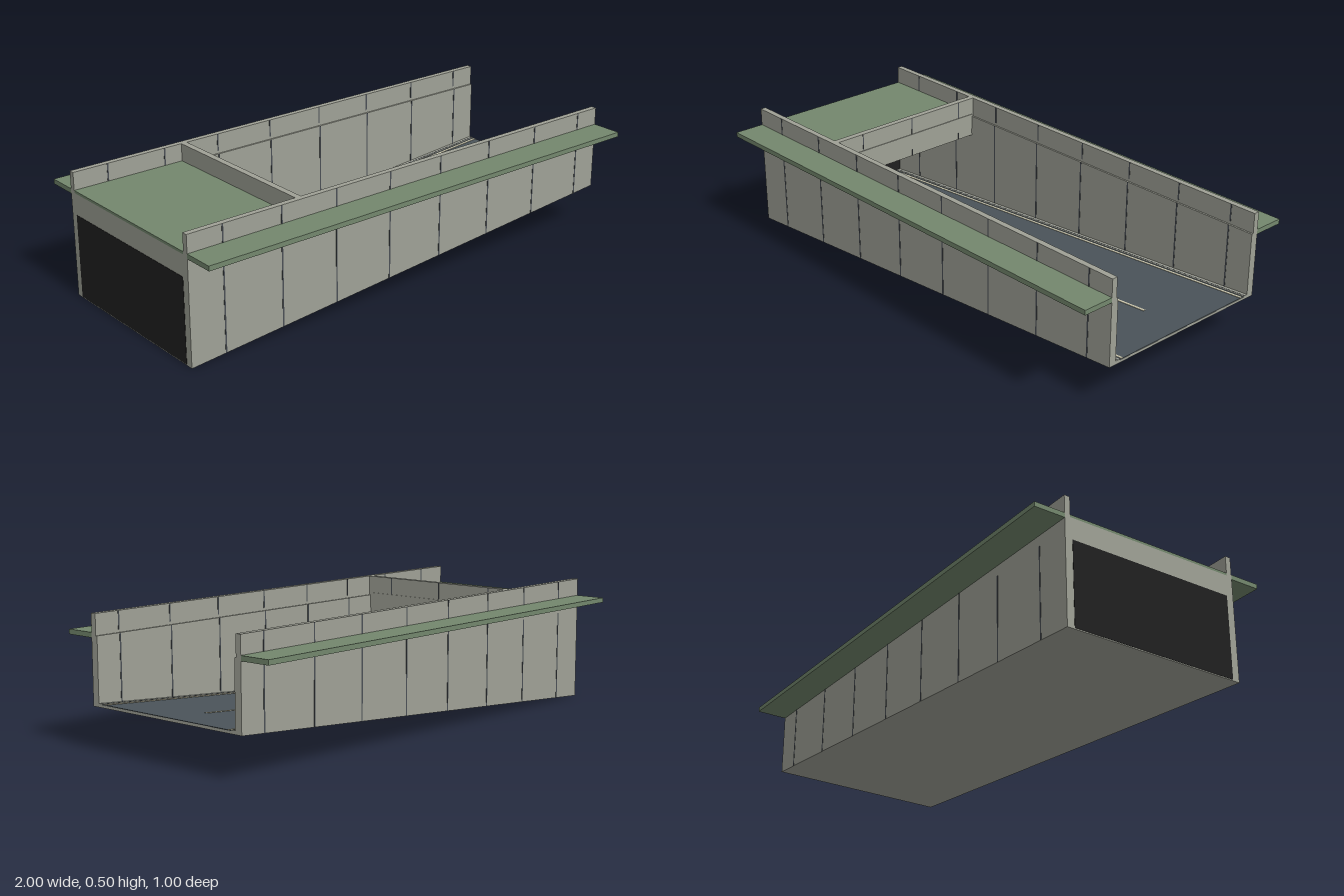
import * as THREE from 'three';

const mat = (name, color) => {
  const m = new THREE.MeshStandardMaterial({ color });
  m.name = name;
  return m;
};

export function createModel() {
  const concrete = mat('concrete', 0x9fa196);
  const grass = mat('grass', 0x73876d);
  const asphalt = mat('asphalt', 0x4b545a);
  const seamGrey = mat('seam grey', 0x4a4f55);
  const cream = mat('cream paint', 0xcdc8ae);
  const dark = mat('tunnel darkness', 0x202020);

  const model = new THREE.Group();
  model.name = 'tunnelRamp';

  // Height of the sloping underside at x
  const base = (x) => 0.081 * (x + 1);

  const add = (name, geometry, material) => {
    const mesh = new THREE.Mesh(geometry, material);
    mesh.name = name;
    model.add(mesh);
    return mesh;
  };

  // Box given by its limits on each axis
  const boxGeometry = (x0, x1, y0, y1, z0, z1) =>
    new THREE.BoxGeometry(x1 - x0, y1 - y0, z1 - z0)
      .translate((x0 + x1) / 2, (y0 + y1) / 2, (z0 + z1) / 2);
  const box = (name, material, ...limits) => add(name, boxGeometry(...limits), material);

  // Box whose height is measured from the slope; a level top is optional
  const rampBox = (name, material, x0, x1, lo, hi, z0, z1, levelTop = false) => {
    const g = boxGeometry(x0, x1, lo, hi, z0, z1);
    const p = g.attributes.position;
    const mid = (lo + hi) / 2;
    for (let i = 0; i < p.count; i++) {
      const top = p.getY(i) > mid;
      if (!(top && levelTop)) p.setY(i, p.getY(i) + base(p.getX(i)));
    }
    g.computeVertexNormals();
    return add(name, g, material);
  };

  // Floor slab and road surface
  rampBox('floorSlab', concrete, -1, 1, 0, 0.010, -0.345, 0.345);
  rampBox('road', asphalt, -0.998, 0.999, 0.010, 0.012, -0.325, 0.325);

  // Centre dashes
  for (let i = 0; i < 4; i++) {
    const x = -0.875 + i * 0.5;
    rampBox('centreDash', cream, x, x + 0.185, 0.012, 0.0135, -0.010, 0);
  }

  const seams = [-0.855, -0.605, -0.36, -0.107, 0.143, 0.395, 0.645, 0.893];

  for (const s of [-1, 1]) {
    // Mirror limits across z = 0
    const zs = (a, b) => (s > 0 ? [a, b] : [-b, -a]);

    // Side wall, parapet and grass verge
    rampBox('sideWall', concrete, -1, 1, 0, 0.42, ...zs(0.345, 0.375), true);
    box('parapet', concrete, -1, 1, 0.42, 0.5, ...zs(0.352, 0.375));
    box('grassVerge', grass, -1, 1, 0.411, 0.43, ...zs(0.3745, 0.5));

    // Kerb and painted edge line
    rampBox('kerb', concrete, -0.998, 1, 0.010, 0.014, ...zs(0.325, 0.345));
    rampBox('kerbJoint', seamGrey, -0.998, 0.999, 0.014, 0.0145, ...zs(0.331, 0.334));
    rampBox('edgeLine', cream, -0.998, 0.999, 0.012, 0.0135, ...zs(0.308, 0.317));

    // Panel joints on both faces of the wall and parapet
    for (const x of seams) {
      const x0 = x - 0.003, x1 = x + 0.003;
      rampBox('outerWallJoint', seamGrey, x0, x1, 0.001, x < -0.5 ? 0.37 : 0.411, ...zs(0.374, 0.376), true);
      box('outerParapetJoint', seamGrey, x0, x1, 0.43, 0.4995, ...zs(0.374, 0.376));
      rampBox('innerWallJoint', seamGrey, x0, x1, 0.014, x < -0.5 ? 0.335 : 0.419, ...zs(0.344, 0.346), true);
      box('innerParapetJoint', seamGrey, x0, x1, 0.431, 0.4995, ...zs(0.351, 0.353));
    }
  }

  // Covered section: roof, turf and headwall
  box('tunnelRoof', concrete, -1, -0.525, 0.335, 0.42, -0.345, 0.345);
  box('roofGrass', grass, -1, -0.528, 0.42, 0.43, -0.352, 0.352);
  box('headwall', concrete, -0.528, -0.503, 0.335, 0.5, -0.352, 0.352);
  box('headwallBeam', concrete, -0.503, -0.5, 0.366, 0.43, -0.345, 0.345);

  // Headwall joints above and below the beam
  for (const z of [-0.271, -0.02, 0.23]) {
    box('headwallJoint', seamGrey, -0.504, -0.502, 0.43, 0.4995, z - 0.002, z + 0.002);
    box('headwallJoint', seamGrey, -0.504, -0.502, 0.336, 0.366, z - 0.002, z + 0.002);
  }

  // Dark closing panel at the deep end
  box('tunnelEnd', dark, -1, -0.995, 0.004, 0.335, -0.345, 0.345).position.x = -0.001;

  return model;
}
